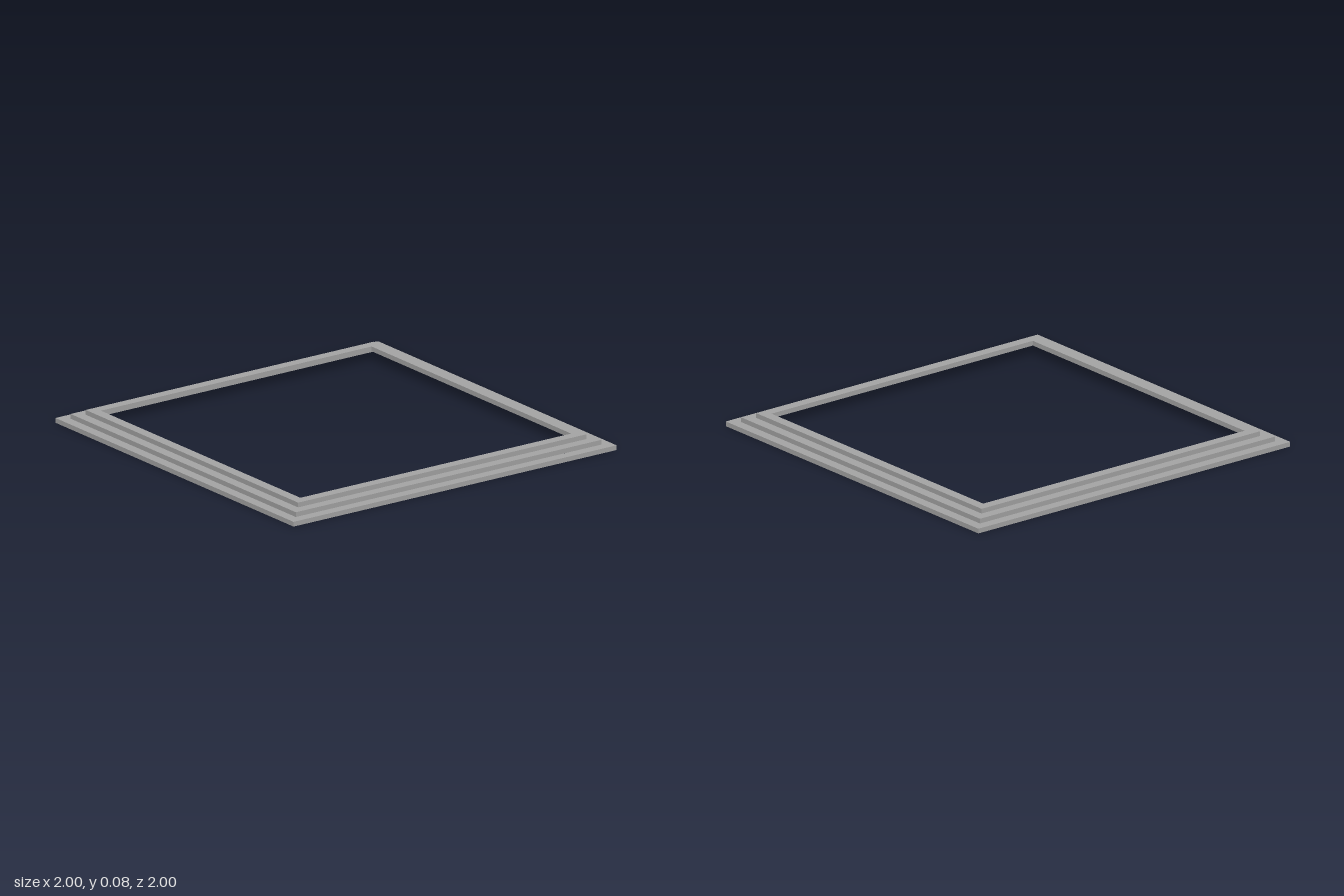
import * as THREE from 'three';

const BAR = 0.054;  // bar width, also the inset of each step
const RISE = 0.025; // step height

export function createModel() {
  const model = new THREE.Group();
  model.name = 'steppedFrame';
  const stone = new THREE.MeshStandardMaterial({ color: 0xa6a6a6 });
  stone.name = 'grey stone';

  const addBar = (parent, name, w, d, x, y, z) => {
    const bar = new THREE.Mesh(new THREE.BoxGeometry(w, RISE, d), stone);
    bar.name = name;
    bar.position.set(x, y, z);
    parent.add(bar);
  };

  // Three square frames, each one step higher and one bar further in
  ['lowerStep', 'middleStep', 'upperStep'].forEach((name, i) => {
    const step = new THREE.Group();
    step.name = name;
    const half = 1 - i * BAR;
    const mid = half - BAR / 2;
    const y = (i + 0.5) * RISE;
    // Side bars run the full depth; front and back bars fit between them
    addBar(step, 'leftBar', BAR, 2 * half, mid, y, 0);
    addBar(step, 'rightBar', BAR, 2 * half, -mid, y, 0);
    addBar(step, 'frontBar', 2 * (half - BAR), BAR, 0, y, mid);
    addBar(step, 'backBar', 2 * (half - BAR), BAR, 0, y, -mid);
    model.add(step);
  });

  return model;
}
